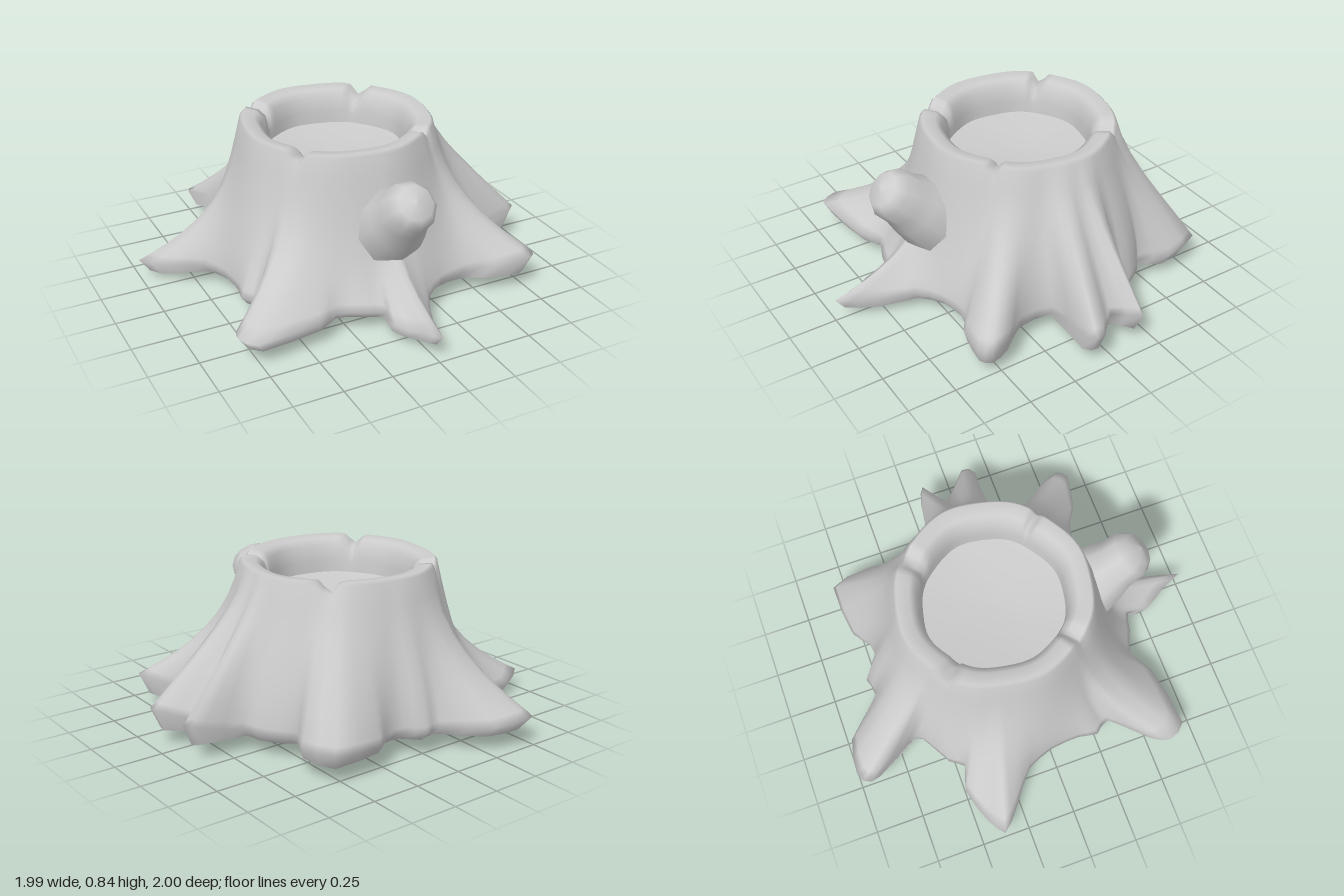
import * as THREE from 'three';

const CX = 0, CZ = -0.08;      // centre of the cut trunk
const TOP = 0.84, RIM = 0.49;  // height and outer radius of the cut
const CORE = 0.66;             // trunk radius at the ground, without roots

// Ground outline of trunk and roots as x, z pairs, counter-clockwise from the front root
const OUTLINE = [
  0.01, 1.0, 0.07, 0.82, 0.15, 0.64, 0.28, 0.55, 0.41, 0.53, 0.5, 0.55,
  0.58, 0.6, 0.75, 0.63, 0.8, 0.58, 0.76, 0.47, 0.65, 0.33, 0.65, 0.14,
  0.95, 0.15, 0.99, 0.08, 0.85, -0.06, 0.97, -0.16, 0.88, -0.2, 0.69, -0.23,
  0.67, -0.32, 0.6, -0.42, 0.54, -0.47, 0.62, -0.62, 0.57, -0.81, 0.29, -0.79,
  0.2, -0.72, 0.1, -0.72, 0.02, -0.8, -0.08, -0.78, -0.27, -0.97, -0.46, -1.0,
  -0.52, -0.94, -0.38, -0.7, -0.39, -0.62, -0.55, -0.53, -0.6, -0.46, -0.72, -0.5,
  -0.88, -0.45, -1.0, -0.38, -0.88, -0.27, -0.73, -0.15, -0.67, 0, -0.66, 0.15,
  -0.68, 0.25, -0.63, 0.33, -0.82, 0.53, -0.84, 0.6, -0.78, 0.69, -0.45, 0.65,
  -0.33, 0.58, -0.2, 0.63, -0.1, 0.66, -0.11, 0.77, -0.03, 0.9,
];

// Splits in the rim: angle from the front towards +x, depth, half width
const SPLITS = [[0.75, 0.04, 0.07], [2.4, 0.07, 0.12], [-2.4, 0.08, 0.07], [-0.85, 0.05, 0.12]];

const { lerp, clamp } = THREE.MathUtils;
const bump = (x, z, cx, cz, w) => Math.exp(-((x - cx) ** 2 + (z - cz) ** 2) / w);

function sampleOutline() {
  const pts = [];
  for (let i = 0; i < OUTLINE.length; i += 2) pts.push(new THREE.Vector3(OUTLINE[i], 0, OUTLINE[i + 1]));
  const curve = new THREE.CatmullRomCurve3(pts, true, 'catmullrom', 0.3);
  const n = pts.length * 2;
  const ground = Array.from({ length: n }, (_, i) => curve.getPoint(i / n));
  return ground.map(({ x, z }, i) => {
    // direction on the trunk, averaged over neighbours so the roots blend in softly
    let dx = 0, dz = 0;
    for (let k = -3; k <= 3; k++) {
      const q = ground[(i + k + n) % n], len = Math.hypot(q.x - CX, q.z - CZ);
      dx += (q.x - CX) / len;
      dz += (q.z - CZ) / len;
    }
    const a = Math.atan2(dx, dz);
    const r = Math.hypot(x - CX, z - CZ);
    const reach = clamp((r - 0.65) / 0.35, 0, 1);
    // two roots dip below the rest of the underside
    const bottom = 0.082 - 0.082 * bump(x, z, -0.87, -0.42, 0.03) - 0.05 * bump(x, z, 0, 0.8, 0.03);
    const split = SPLITS.reduce((s, [sa, d, w]) => {
      const off = Math.abs(Math.atan2(Math.sin(a - sa), Math.cos(a - sa)));
      return s + d * Math.max(0, 1 - off / w);
    }, 0);
    // how low on the trunk the root starts to spread
    const flare = 2 + 4 * Math.max(0, Math.cos(a)) ** 3 + 1.7 * Math.max(0, -Math.sin(a))
      - 0.3 * Math.max(0, Math.sin(a));
    const edge = bottom + 0.035 + reach * (0.03 + 0.05 * Math.max(0, Math.sin(a)));
    return { x, z, a, core: Math.min(r, CORE), bottom, split, flare, edge };
  });
}

// Joins closed rings of points into a smooth surface
function loft(rings) {
  const n = rings[0].length, index = [];
  for (let i = 0; i < rings.length - 1; i++) {
    for (let j = 0; j < n; j++) {
      const a = i * n + j, b = i * n + (j + 1) % n;
      index.push(a, a + n, b, b, a + n, b + n);
    }
  }
  const geo = new THREE.BufferGeometry();
  geo.setAttribute('position', new THREE.Float32BufferAttribute(rings.flat(2), 3));
  geo.setIndex(index);
  geo.computeVertexNormals();
  return geo;
}

export function createModel() {
  const group = new THREE.Group();
  group.name = 'treeStump';
  const material = new THREE.MeshStandardMaterial({ color: 0xcccccc });
  const add = (name, geo) => {
    const mesh = new THREE.Mesh(geo, material);
    mesh.name = name;
    group.add(mesh);
    return mesh;
  };

  const outline = sampleOutline();
  const wobble = (a) => 1 + 0.01 * Math.sin(3 * a + 3) + 0.01 * Math.sin(8 * a);
  const circle = (r, y, splitShare = 0) => outline.map((p) => [
    CX + Math.sin(p.a) * r * wobble(p.a), y - p.split * splitShare, CZ + Math.cos(p.a) * r * wobble(p.a),
  ]);
  // Slice of the outer wall, s = 0 at the rim, 1 at the root edge: a cone that spreads into roots
  const slice = (s) => outline.map((p) => {
    const f = s ** p.flare, r = lerp(RIM * wobble(p.a), p.core, s);
    return [
      lerp(CX + Math.sin(p.a) * r, p.x, f),
      lerp(TOP - 0.015 - p.split * (1 - s) ** 4, p.edge, s),
      lerp(CZ + Math.cos(p.a) * r, p.z, f),
    ];
  });
  const under = (k, dip) => outline.map((p) => [p.x * k, lerp(0.08, p.bottom, dip), p.z * k]);

  // Hollow, rim, bark and roots in one skin
  const walls = [0, 0.15, 0.3, 0.45, 0.58, 0.7, 0.8, 0.88, 0.95, 1].map(slice);
  add('trunkAndRoots', loft([
    circle(0.355, 0.63), circle(0.36, 0.72, 0.3), circle(0.375, 0.8, 1), circle(0.41, 0.83, 1),
    circle(0.475, TOP, 1), ...walls, under(0.95, 1),
  ]));

  // Slightly dished wood inside the hollow
  add('hollowFloor', loft([circle(0, 0.63), circle(0.2, 0.635), circle(0.37, 0.66)]));

  add('underside', loft([under(0.95, 1), under(0.75, 0.5), under(0.5, 0), under(0, 0)]));

  // Broken branch stub pointing up and forward, its flared base sunk into the trunk
  const stubProfile = [[0.2, 0.1], [0.185, 0.25], [0.16, 0.36], [0.135, 0.44], [0.128, 0.53], [0.09, 0.58], [0, 0.6]]
    .map(([r, y]) => new THREE.Vector2(r, y));
  const stub = add('branchStub', new THREE.LatheGeometry(stubProfile, 9));
  stub.position.set(0.02, 0.3, 0.28);
  stub.rotation.x = 0.82;

  return group;
}
